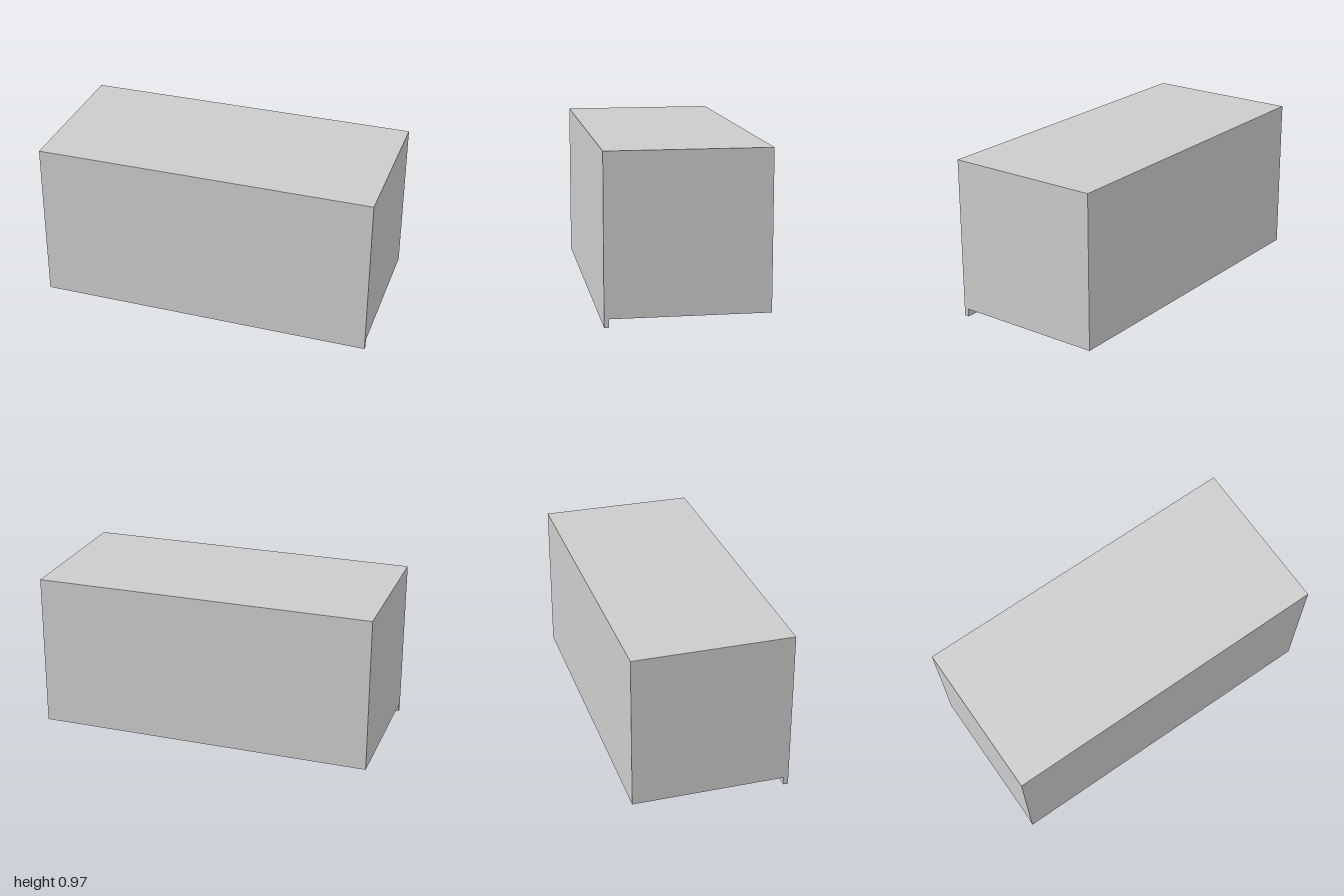
import * as THREE from 'three';

const material = new THREE.MeshStandardMaterial({ color: 0xcccccc });

// Bow handle along x: oval rings spanning an outer and an inner outline
function handleGeometry() {
  const half = [ // outer x, outer y, inner x, inner y
    [-0.104, 0.06, -0.078, 0.06],
    [-0.104, 0.035, -0.078, 0.035],
    [-0.102, 0.019, -0.078, 0.025],
    [-0.085, 0.013, -0.07, 0.024],
    [-0.045, 0.006, -0.042, 0.019],
  ];
  const mirrored = half.map(([a, b, c, d]) => [-a, b, -c, d]).reverse();
  const stations = [...half, [0, 0.001, 0, 0.015], ...mirrored];
  const sides = 16, width = 0.023;
  const positions = [], index = [];
  stations.forEach(([ox, oy, ix, iy], i) => {
    for (let j = 0; j < sides; j++) {
      const a = (j / sides) * Math.PI * 2, t = (1 + Math.cos(a)) / 2;
      positions.push(ox + (ix - ox) * t, oy + (iy - oy) * t, width * Math.sin(a));
      if (i < stations.length - 1) {
        const p = i * sides + j, q = i * sides + (j + 1) % sides;
        index.push(p, q, p + sides, q, q + sides, p + sides);
      }
    }
  });
  const g = new THREE.BufferGeometry();
  g.setAttribute('position', new THREE.Float32BufferAttribute(positions, 3));
  g.setIndex(index);
  g.computeVertexNormals();
  return g;
}

export function createModel() {
  const group = new THREE.Group();

  function add(name, geometry, x, y, z) {
    const mesh = new THREE.Mesh(geometry, material);
    mesh.name = name;
    mesh.position.set(x, y, z);
    group.add(mesh);
    return mesh;
  }
  function box(name, y0, y1, z0, z1) {
    add(name, new THREE.BoxGeometry(2, y1 - y0, z1 - z0), 0, (y0 + y1) / 2, (z0 + z1) / 2);
  }

  // Cabinet resting on its handles, with an overhanging slab at the front
  box('cabinetBody', 0.057, 0.973, -0.464, 0.436);
  box('overhangingSlab', 0.01, 0.973, 0.436, 0.464);

  // Three drawer handles across, two door handles turned a quarter
  const handle = handleGeometry();
  for (const z of [0.375, 0.087, -0.208]) add('drawerHandle', handle, 0.645, 0, z);
  for (const x of [-0.39, -0.245]) add('doorHandle', handle, x, 0, 0.291).rotation.y = Math.PI / 2;

  return group;
}
